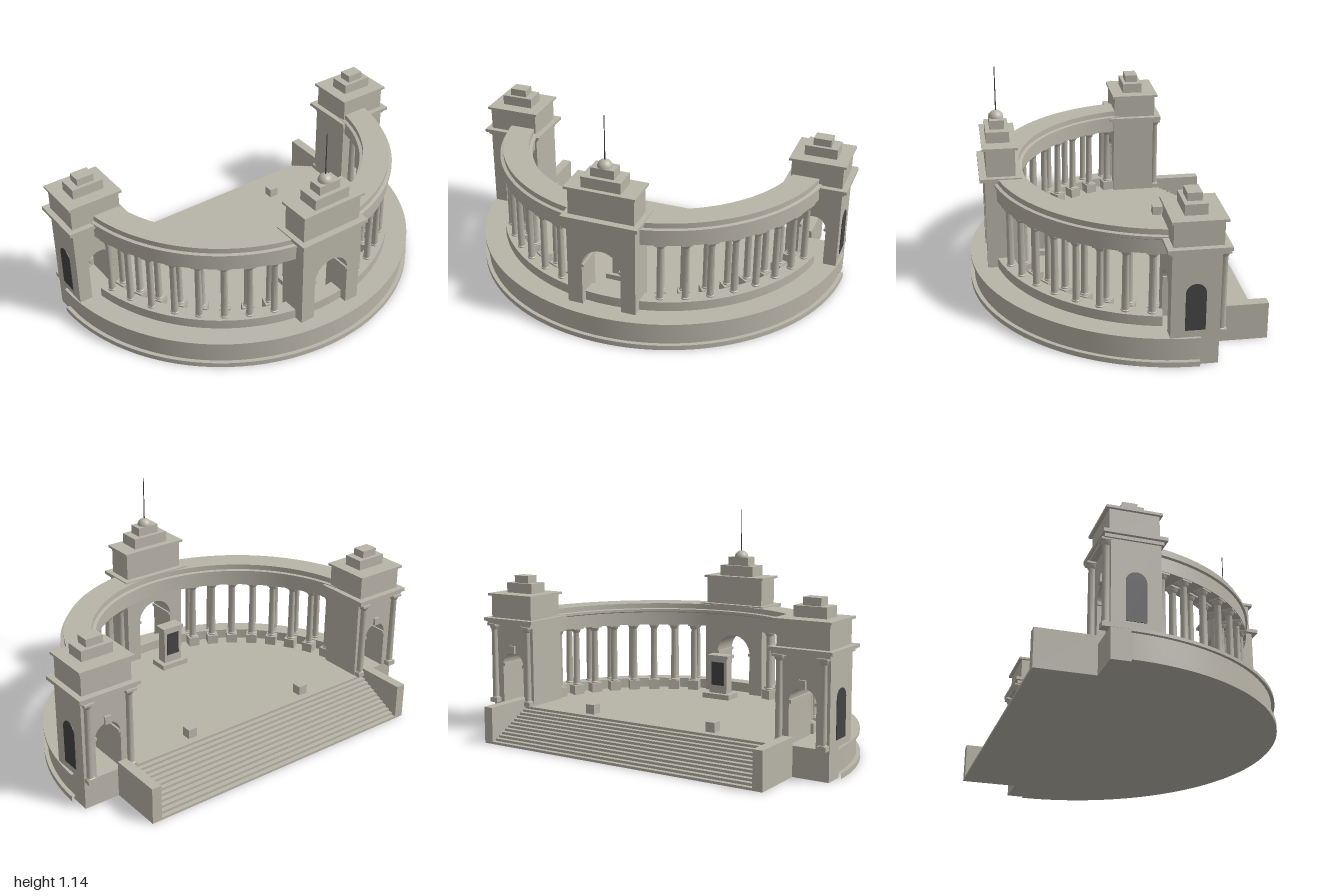
import * as THREE from 'three';
import { toCreasedNormals } from 'three/addons/utils/BufferGeometryUtils.js';

const stone = new THREE.MeshStandardMaterial({ color: 0xb8b4a8 });
const dark = new THREE.MeshStandardMaterial({ color: 0x444444 });
const FLOOR = 0.145;
const CZ = -0.313; // shared centre of the terrace and the colonnade
const rad = THREE.MathUtils.degToRad;

function add(parent, name, geometry, x = 0, y = 0, z = 0, material = stone) {
  const mesh = new THREE.Mesh(geometry, material);
  mesh.name = name;
  mesh.position.set(x, y, z);
  parent.add(mesh);
  return mesh;
}

// Box centred on x, z and spanning y0 to y1
function block(parent, name, w, d, y0, y1, x = 0, z = 0, material = stone) {
  return add(parent, name, new THREE.BoxGeometry(w, y1 - y0, d), x, (y0 + y1) / 2, z, material);
}

// Curved band swept about the centre, to the same angle on both sides of the front
function sweep(parent, name, profile, angle) {
  const points = profile.map(([r, y]) => new THREE.Vector2(r, y));
  const geo = new THREE.LatheGeometry(points, 60, rad(-angle), rad(2 * angle));
  add(parent, name, toCreasedNormals(geo, 0.5), 0, 0, CZ);
}

// Wall with an arched passage, open at the floor
function archedBody(parent, name, half, top, open, spring, depth) {
  const s = new THREE.Shape();
  s.moveTo(-half, FLOOR);
  s.lineTo(-open, FLOOR);
  s.lineTo(-open, spring);
  s.absarc(0, spring, open, Math.PI, 0, true);
  s.lineTo(open, FLOOR);
  s.lineTo(half, FLOOR);
  s.lineTo(half, top);
  s.lineTo(-half, top);
  s.closePath();
  const geo = new THREE.ExtrudeGeometry(s, { depth, bevelEnabled: false, curveSegments: 20 });
  geo.translate(0, 0, -depth / 2);
  add(parent, name, toCreasedNormals(geo, 0.5));
  for (const side of [-1, 1]) {
    block(parent, 'archImpost', 0.02, depth, spring - 0.008, spring + 0.007, side * open, 0);
  }
}

// Tapered column with foot, flared capital and square slab
function column(parent, x, z, y0, y1, r, turn = 0) {
  const g = new THREE.Group();
  g.name = 'column';
  const p = [[0, y0], [r * 1.2, y0], [r * 1.2, y0 + 0.006], [r, y0 + 0.009], [r * 0.88, y1 - 0.03],
    [r * 1.1, y1 - 0.026], [r * 1.5, y1 - 0.008], [0, y1 - 0.008]];
  const geo = new THREE.LatheGeometry(p.map(([a, b]) => new THREE.Vector2(a, b)), 14);
  add(g, 'columnShaft', toCreasedNormals(geo, 0.6));
  block(g, 'columnSlab', r * 3.1, r * 3.1, y1 - 0.01, y1);
  g.position.set(x, 0, z);
  g.rotation.y = turn;
  parent.add(g);
}

function centralTower() {
  const g = new THREE.Group();
  g.name = 'centralTower';
  g.position.z = 0.518;
  archedBody(g, 'centralTowerBody', 0.175, 0.62, 0.1, 0.363, 0.156);
  block(g, 'lowerCornice', 0.39, 0.207, 0.615, 0.633);
  block(g, 'upperBlock', 0.335, 0.142, 0.633, 0.772, 0, -0.003);
  block(g, 'upperCornice', 0.36, 0.174, 0.772, 0.784, 0, -0.001);
  block(g, 'crownStep', 0.2, 0.115, 0.784, 0.84, 0, 0.005);
  block(g, 'crownStep', 0.12, 0.072, 0.84, 0.885, 0, 0.005);
  add(g, 'dome', new THREE.SphereGeometry(0.037, 24, 12, 0, Math.PI * 2, 0, Math.PI / 2), 0, 0.883, 0.005);
  add(g, 'spire', new THREE.CylinderGeometry(0.002, 0.003, 0.232, 8), 0, 1.026, 0.005, dark);
  return g;
}

function sideTower(side) {
  const g = new THREE.Group();
  g.name = side > 0 ? 'leftTower' : 'rightTower';
  g.position.set(side * 0.84, 0, -0.288);
  archedBody(g, 'sideTowerBody', 0.135, 0.58, 0.068, 0.345, 0.226);
  block(g, 'lowerCornice', 0.29, 0.265, 0.56, 0.578, 0, -0.01);
  block(g, 'lowerCornice', 0.32, 0.29, 0.576, 0.593, 0, -0.008);
  block(g, 'upperBlock', 0.262, 0.228, 0.593, 0.708, 0, -0.006);
  block(g, 'upperCornice', 0.288, 0.255, 0.708, 0.72, 0, -0.008);
  block(g, 'crownStep', 0.165, 0.105, 0.72, 0.772);
  block(g, 'crownStep', 0.09, 0.068, 0.772, 0.81);
  block(g, 'keystone', 0.035, 0.02, 0.41, 0.45, 0, -0.115);
  // Columns beside the rear arch, on small plinths
  for (const s of [-1, 1]) {
    column(g, s * 0.11, -0.128, 0.165, 0.562, 0.017);
    block(g, 'columnPlinth', 0.045, 0.045, FLOOR, 0.168, s * 0.11, -0.126);
  }
  // Dark arched window on the outer wall
  const w = new THREE.Shape();
  w.moveTo(-0.047, 0.18);
  w.lineTo(0.047, 0.18);
  w.lineTo(0.047, 0.365);
  w.absarc(0, 0.365, 0.047, 0, Math.PI, false);
  w.closePath();
  const geo = new THREE.ExtrudeGeometry(w, { depth: 0.004, bevelEnabled: false, curveSegments: 12 });
  const win = add(g, 'archedWindow', geo, side * 0.134, 0, 0, dark);
  win.rotation.y = side * Math.PI / 2;
  return g;
}

export function createModel() {
  const model = new THREE.Group();
  model.name = 'semicircularColonnade';

  // Half-round terrace with mouldings, and its straight rear part
  sweep(model, 'terrace', [[0, 0], [0.994, 0], [0.994, 0.025], [0.974, 0.025], [0.974, 0.13],
    [0.99, 0.13], [0.99, FLOOR], [0, FLOOR]], 90);
  block(model, 'rearTerrace', 1.948, 0.1, 0, FLOOR, 0, -0.35);

  // Stairs, each step solid down to the ground, and cheek walls
  const steps = 12, tread = 0.28 / steps;
  for (let i = 0; i < steps; i++) {
    block(model, 'stairStep', 1.49, tread, 0, (i + 1) * FLOOR / steps, 0, -0.68 + (i + 0.5) * tread);
  }
  for (const s of [-1, 1]) block(model, 'cheekWall', 0.05, 0.28, 0, 0.185, s * 0.768, -0.54);

  // Curved plinth under the outer columns
  sweep(model, 'curvedPlinth', [[0.802, FLOOR], [0.877, FLOOR], [0.877, 0.195], [0.802, 0.195],
    [0.802, FLOOR]], 80);

  // Curved entablature
  sweep(model, 'entablature', [[0.728, 0.51], [0.871, 0.51], [0.871, 0.578], [0.881, 0.584], [0.881, 0.597],
    [0.864, 0.6], [0.864, 0.627], [0.73, 0.627], [0.73, 0.6], [0.713, 0.597], [0.713, 0.584],
    [0.728, 0.578], [0.728, 0.51]], 83);

  // Two rows of columns; the inner row stands on separate blocks
  for (const s of [-1, 1]) {
    for (let i = 0; i < 8; i++) {
      const a = s * rad(18 + 8.4 * i);
      for (const r of [0.84, 0.765]) {
        const x = r * Math.sin(a), z = CZ + r * Math.cos(a);
        column(model, x, z, 0.195, 0.512, 0.018, a);
        if (r < 0.8) block(model, 'columnBlock', 0.058, 0.058, FLOOR, 0.195, x, z).rotation.y = a;
      }
    }
  }

  model.add(centralTower(), sideTower(1), sideTower(-1));

  // Monument with an inscription panel facing the stairs
  block(model, 'monumentBase', 0.16, 0.1, FLOOR, 0.172, 0, 0.3);
  block(model, 'monumentPillar', 0.105, 0.055, 0.172, 0.362, 0, 0.303);
  block(model, 'monumentCap', 0.125, 0.07, 0.36, 0.377, 0, 0.303);
  block(model, 'monumentPanel', 0.075, 0.004, 0.215, 0.34, 0, 0.275, dark);

  // Small blocks near the top of the stairs
  for (const s of [-1, 1]) block(model, 'floorBlock', 0.05, 0.05, FLOOR, 0.193, s * 0.353, -0.363);

  return model;
}
